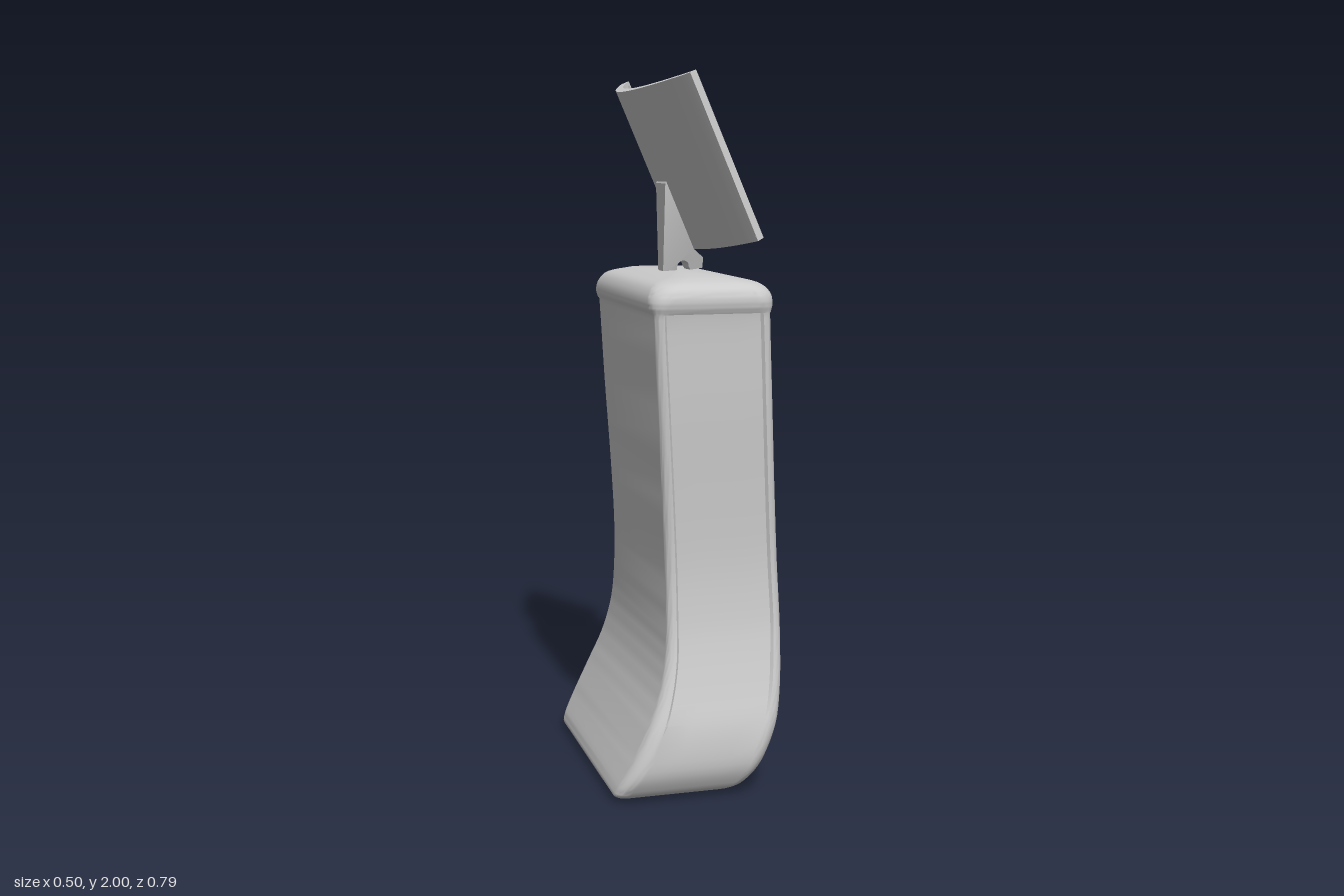
import * as THREE from 'three';
import { toCreasedNormals } from 'three/addons/utils/BufferGeometryUtils.js';

const material = new THREE.MeshStandardMaterial({ color: 0xcccccc });

function mesh(name, geometry) {
  const m = new THREE.Mesh(geometry, material);
  m.name = name;
  return m;
}

// Body profile rows: height, back x, front x, half width, corner radius, side recess
const ROWS = [
  [0, -0.2, 0.05, 0.3, 0.03, 0], [0.015, -0.247, 0.09, 0.345, 0.03, 0],
  [0.04, -0.247, 0.13, 0.37, 0.035, 0], [0.1, -0.217, 0.173, 0.394, 0.045, 0],
  [0.2, -0.168, 0.211, 0.393, 0.04, 0.003], [0.3, -0.126, 0.228, 0.37, 0.032, 0.007],
  [0.4, -0.102, 0.236, 0.345, 0.028, 0.008], [0.5, -0.094, 0.238, 0.326, 0.025, 0.008],
  [0.65, -0.094, 0.233, 0.314, 0.025, 0.008], [0.85, -0.103, 0.223, 0.318, 0.025, 0.008],
  [1.1, -0.118, 0.21, 0.33, 0.025, 0.008], [1.34, -0.131, 0.199, 0.337, 0.025, 0.008],
  [1.355, -0.137, 0.202, 0.341, 0.035, 0], [1.38, -0.144, 0.208, 0.35, 0.05, 0],
  [1.41, -0.138, 0.204, 0.346, 0.06, 0], [1.435, -0.115, 0.175, 0.322, 0.06, 0],
  [1.45, -0.06, 0.11, 0.265, 0.05, 0],
];

// One horizontal section: rounded rectangle whose two sides sit back behind corner lips
function section([y, xb, xf, w, r, recess]) {
  const pts = [];
  const corner = (cx, cz, start) => {
    for (let k = 0; k <= 8; k++) {
      const a = start + (k / 8) * Math.PI / 2;
      pts.push([cx + r * Math.cos(a), y, cz + r * Math.sin(a)]);
    }
  };
  const side = (from, to, z) => {
    for (let k = 0; k <= 4; k++) pts.push([from + (to - from) * k / 4, y, z]);
  };
  const front = xf - r, back = xb + r, step = 0.007;
  corner(front, w - r, 0);
  side(front - step, back + step, w - recess);
  corner(back, w - r, Math.PI / 2);
  corner(back, r - w, Math.PI);
  side(back + step, front - step, recess - w);
  corner(front, r - w, Math.PI * 1.5);
  return pts;
}

function bodyGeometry() {
  // Smooth the rows into a dense stack of sections
  const spline = (i) => new THREE.CatmullRomCurve3(
    ROWS.map((q) => new THREE.Vector3(q[i], q[i + 1], q[i + 2])), false, 'catmullrom', 0.5);
  const low = spline(0), high = spline(3);
  const steps = (ROWS.length - 1) * 4;
  const rings = [];
  for (let i = 0; i <= steps; i++) {
    rings.push(section([...low.getPoint(i / steps).toArray(), ...high.getPoint(i / steps).toArray()]));
  }
  const n = rings[0].length;
  const positions = rings.flat(2);
  const index = [];
  for (let i = 0; i < steps; i++) {
    for (let j = 0; j < n; j++) {
      const k = (j + 1) % n;
      const a = i * n + j, b = i * n + k;
      index.push(a, a + n, b, b, a + n, b + n);
    }
  }
  // Close the base and the crown
  const base = rings.length * n, crown = base + 1;
  positions.push(-0.07, 0, 0, 0.025, 1.455, 0);
  for (let j = 0; j < n; j++) {
    const k = (j + 1) % n;
    index.push(base, j, k, crown, steps * n + k, steps * n + j);
  }
  const g = new THREE.BufferGeometry();
  g.setAttribute('position', new THREE.Float32BufferAttribute(positions, 3));
  g.setIndex(index);
  return toCreasedNormals(g, 0.6);
}

function roundedRect(Type, hw, hh, r) {
  const s = new Type();
  s.absarc(hw - r, hh - r, r, 0, Math.PI / 2);
  s.absarc(r - hw, hh - r, r, Math.PI / 2, Math.PI);
  s.absarc(r - hw, r - hh, r, Math.PI, Math.PI * 1.5);
  s.absarc(hw - r, r - hh, r, Math.PI * 1.5, Math.PI * 2);
  s.closePath();
  return s;
}

// Raised rounded frame with a sunken panel on the front face
function frontPanel() {
  const group = new THREE.Group();
  group.name = 'frontPanel';
  const ring = roundedRect(THREE.Shape, 0.2, 0.262, 0.085);
  ring.holes.push(roundedRect(THREE.Path, 0.188, 0.25, 0.073));
  const frame = new THREE.ExtrudeGeometry(ring, {
    depth: 0.014, bevelEnabled: true, bevelThickness: 0.008, bevelSize: 0.008,
    bevelSegments: 4, curveSegments: 10,
  });
  const plate = new THREE.ExtrudeGeometry(roundedRect(THREE.Shape, 0.192, 0.254, 0.077), {
    depth: 0.015, bevelEnabled: false, curveSegments: 10,
  });
  for (const [name, g, x] of [['panelFrame', frame, -0.003], ['panelScreen', plate, -0.005]]) {
    const m = mesh(name, toCreasedNormals(g, 0.6));
    m.rotation.y = Math.PI / 2;
    m.position.x = x;
    group.add(m);
  }
  group.position.set(0.219, 0.945, 0);
  group.rotation.z = 0.052;
  return group;
}

// Box bent round a vertical axis in front of the display
function bentBox(x0, x1, y0, y1, s0, s1) {
  const R = 0.765;
  const g = new THREE.BoxGeometry(x1 - x0, y1 - y0, s1 - s0, 1, 1, s1 - s0 > 0.1 ? 32 : 1);
  g.translate((x0 + x1) / 2, (y0 + y1) / 2, (s0 + s1) / 2);
  const p = g.attributes.position;
  for (let i = 0; i < p.count; i++) {
    const a = p.getZ(i) / R, r = R - p.getX(i);
    p.setX(i, -0.09 + R - r * Math.cos(a));
    p.setZ(i, r * Math.sin(a));
  }
  g.computeVertexNormals();
  return g;
}

function display() {
  const group = new THREE.Group();
  group.name = 'curvedDisplay';
  const H = 0.24, S = 0.372, rim = 0.011, T = -0.024;
  group.add(mesh('displayPanel', bentBox(T, -0.006, -H + 0.002, H - 0.002, -S + 0.002, S - 0.002)));
  for (const d of [-1, 1]) {
    const y = d * (H - rim / 2), s = d * (S - rim / 2);
    group.add(mesh('displayRim', bentBox(T, 0, y - rim / 2, y + rim / 2, -S, S)));
    group.add(mesh('displaySideRim', bentBox(T, 0, -H, H, s - rim / 2, s + rim / 2)));
  }
  group.position.set(0.07, 1.78, 0);
  group.rotation.z = 0.408;
  return group;
}

// Upright wedge behind the display with a small arch at its foot
function stand() {
  const s = new THREE.Shape();
  s.moveTo(-0.025, 1.44);
  s.lineTo(0.015, 1.44);
  s.lineTo(0.015, 1.465);
  s.absarc(0.032, 1.465, 0.017, Math.PI, 0, true);
  s.lineTo(0.055, 1.455);
  s.lineTo(0.09, 1.46);
  s.lineTo(0.09, 1.49);
  s.lineTo(0.06, 1.515);
  s.lineTo(-0.022, 1.705);
  s.lineTo(-0.025, 1.7);
  s.closePath();
  const g = new THREE.ExtrudeGeometry(s, { depth: 2, bevelEnabled: false, curveSegments: 8 });
  g.translate(0, 0, -1);
  // Narrow towards the foot
  const p = g.attributes.position;
  for (let i = 0; i < p.count; i++) {
    const t = THREE.MathUtils.clamp((p.getY(i) - 1.44) / 0.08, 0, 1);
    p.setZ(i, p.getZ(i) * (0.025 + 0.025 * t));
  }
  return mesh('displayStand', toCreasedNormals(g, 0.5));
}

export function createModel() {
  const model = new THREE.Group();
  model.name = 'kiosk';
  model.add(mesh('body', bodyGeometry()), frontPanel(), stand(), display());
  // Thin slot under the crown
  const slot = mesh('slot', new THREE.BoxGeometry(0.006, 0.008, 0.09));
  slot.position.set(0.206, 1.375, 0);
  model.add(slot);
  return model;
}
